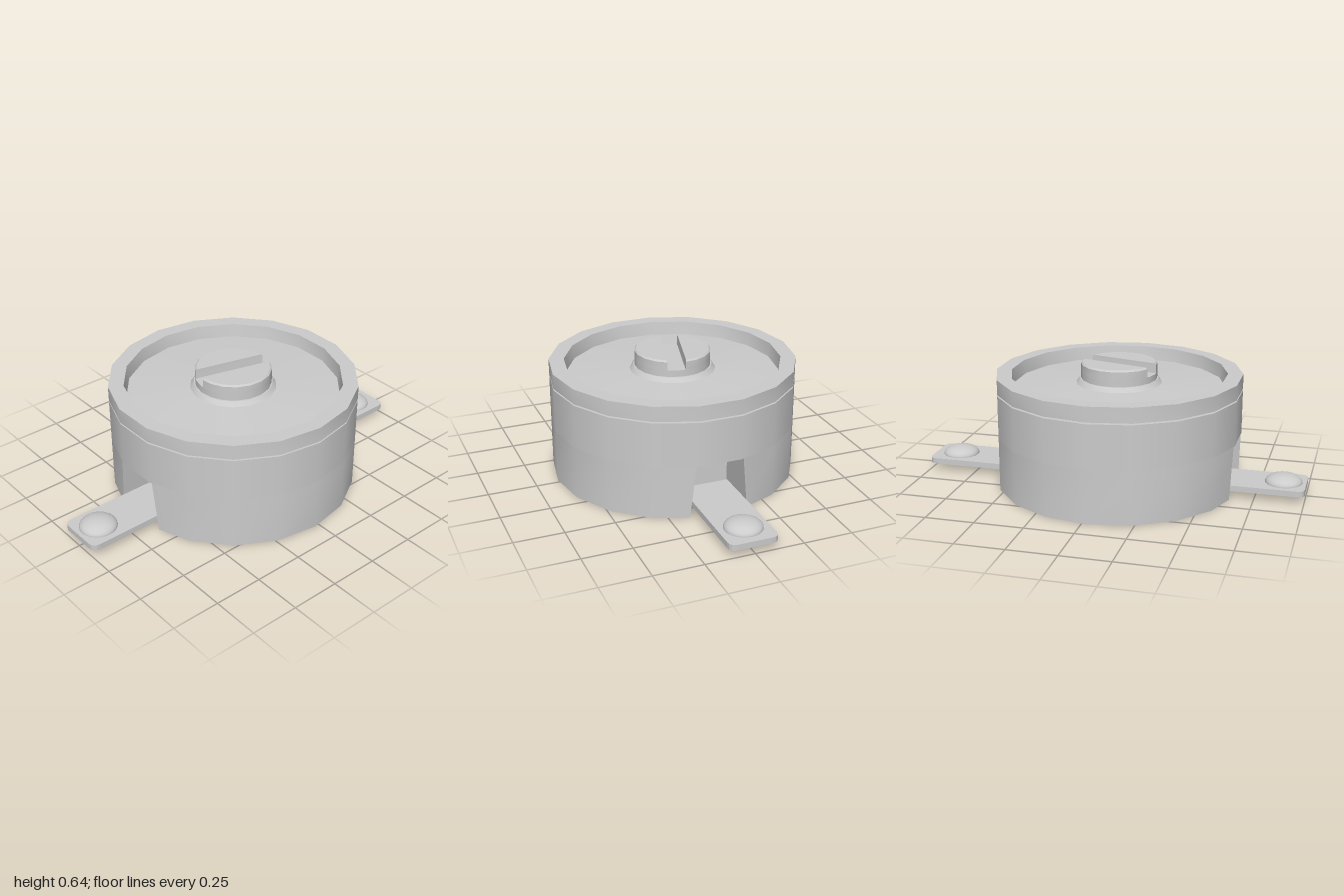
import * as THREE from 'three';
import { toCreasedNormals } from 'three/addons/utils/BufferGeometryUtils.js';

const SIDES = 18;
const CREASE = 0.5;
const CX = -0.022; // axis of the round housing

// Half of an 18-sided drum, cut off by a plane at z = clip; rings are [radius, y, clip]
function drumHalf(rings) {
  const pos = [], index = [];
  for (const [r, y, clip] of rings) {
    const p = (k) => [r * Math.sin(k * Math.PI / 9), r * Math.cos(k * Math.PI / 9)];
    const [x3, z3] = p(3), [x4, z4] = p(4);
    const cutX = x3 + (x4 - x3) * (z3 - clip) / (z3 - z4);
    pos.push(-cutX, y, clip);
    for (let k = -3; k <= 3; k++) { const [x, z] = p(k); pos.push(x, y, z); }
    pos.push(cutX, y, clip);
  }
  const n = 9, last = (rings.length - 1) * n;
  for (let j = 0; j < last; j += n) {
    for (let i = 0; i < n; i++) {
      const a = j + i, b = j + (i + 1) % n;
      index.push(a, b, b + n, a, b + n, a + n);
    }
  }
  for (let i = 1; i < n - 1; i++) {
    index.push(0, i + 1, i, last, last + i, last + i + 1);
  }
  const g = new THREE.BufferGeometry();
  g.setAttribute('position', new THREE.Float32BufferAttribute(pos, 3));
  g.setIndex(index);
  return toCreasedNormals(g, CREASE);
}

function lathe(points, sides = SIDES) {
  const profile = points.map(([x, y]) => new THREE.Vector2(x, y));
  return toCreasedNormals(new THREE.LatheGeometry(profile, sides), CREASE);
}

export function createModel() {
  const model = new THREE.Group();
  const material = new THREE.MeshStandardMaterial({ color: 0xcccccc });
  const add = (parent, name, geometry, x = 0, y = 0, z = 0) => {
    const mesh = new THREE.Mesh(geometry, material);
    mesh.name = name;
    mesh.position.set(x, y, z);
    parent.add(mesh);
    return mesh;
  };
  const group = (name, x) => {
    const g = new THREE.Group();
    g.name = name;
    g.position.x = x;
    model.add(g);
    return g;
  };

  // Housing: solid drum above, two halves below leaving a tapered channel along x
  const housing = group('housing', CX);
  add(housing, 'upperHousing', new THREE.CylinderGeometry(0.633, 0.633, 0.228, SIDES), 0, 0.386);
  const lower = drumHalf([[0.633, 0, 0.15], [0.633, 0.272, 0.122]]);
  add(housing, 'frontLowerHousing', lower);
  add(housing, 'backLowerHousing', lower).rotation.y = Math.PI;
  add(housing, 'neck', new THREE.CylinderGeometry(0.54, 0.54, 0.022, SIDES), 0, 0.501);

  // Lid with raised rim, dished floor and a collar for the screw
  add(housing, 'lid', lathe([
    [0, 0.508], [0.633, 0.508], [0.633, 0.585], [0.555, 0.585],
    [0.545, 0.515], [0.22, 0.533], [0.202, 0.556], [0, 0.556],
  ]));

  // Slotted screw head, turned slightly
  const screw = new THREE.Group();
  screw.name = 'screwHead';
  screw.rotation.y = -Math.PI / 12;
  housing.add(screw);
  add(screw, 'screwBase', new THREE.CylinderGeometry(0.195, 0.195, 0.04, SIDES), 0, 0.57);
  const half = drumHalf([[0.195, 0.59, 0.045], [0.195, 0.632, 0.047], [0.187, 0.64, 0.047]]);
  add(screw, 'screwHalf', half);
  add(screw, 'screwHalf', half).rotation.y = Math.PI;

  // Bracket: bridge under the housing, two legs, two rounded tabs with rivets
  const bracket = group('bracket', 0);
  add(bracket, 'bridge', new THREE.BoxGeometry(0.82, 0.03, 0.244), -0.01, 0.256);
  const inner = 0.39, outer = 1, w = 0.125, r = 0.04;
  const plan = new THREE.Shape();
  plan.moveTo(inner, -w);
  plan.lineTo(outer - r, -w);
  plan.quadraticCurveTo(outer, -w, outer, -w + r);
  plan.lineTo(outer, w - r);
  plan.quadraticCurveTo(outer, w, outer - r, w);
  plan.lineTo(inner, w);
  plan.closePath();
  const tab = new THREE.ExtrudeGeometry(plan, { depth: 0.03, bevelEnabled: false, curveSegments: 4 });
  tab.rotateX(-Math.PI / 2);
  const dome = new THREE.SphereGeometry(0.095, 24, 8, 0, Math.PI * 2, 0, Math.PI / 2);
  dome.scale(1, 0.46, 1);
  for (const [side, s] of [['left', 1], ['right', -1]]) {
    add(bracket, side + 'Tab', tab, 0, 0.036).rotation.y = s > 0 ? 0 : Math.PI;
    add(bracket, side + 'Leg', new THREE.BoxGeometry(0.03, 0.235, 0.244), s * 0.4 - 0.01, 0.1535);
    add(bracket, side + 'Rivet', dome, s * 0.875 - 0.01, 0.066);
  }
  return model;
}
